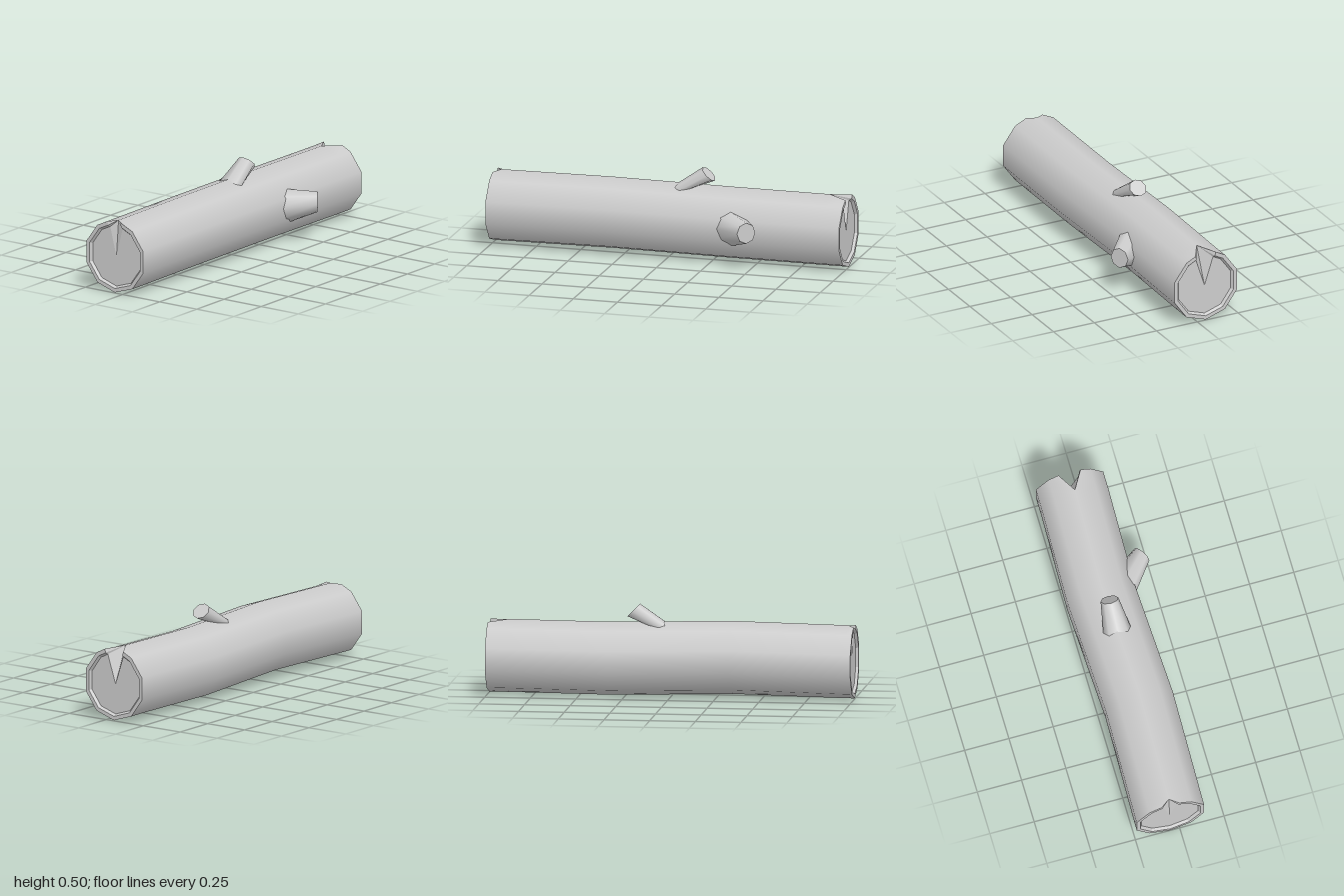
import * as THREE from 'three';

const SIDES = 10, R = 0.2;
const bark = new THREE.MeshStandardMaterial({ color: 0xcccccc });

// Decagon around the log axis; its top corner is opened into two points by the crack half-width
function ring(x, cy, cz, r, split) {
  const points = [];
  for (let j = 0; j <= SIDES; j++) {
    let a = (j / SIDES) * Math.PI * 2;
    if (j === 0) a += split;
    if (j === SIDES) a -= split;
    points.push({
      p: new THREE.Vector3(x, cy + r * Math.cos(a), cz + r * Math.sin(a)),
      n: new THREE.Vector3(0, Math.cos(a), Math.sin(a)),
    });
  }
  return points;
}

// Triangles between successive rings, as a list of corners
function loft(rings) {
  const tris = [];
  for (let i = 0; i < rings.length - 1; i++) {
    for (let j = 0; j < rings[i].length - 1; j++) {
      const a = rings[i][j], b = rings[i][j + 1];
      const c = rings[i + 1][j], d = rings[i + 1][j + 1];
      tris.push([a, b, c], [b, d, c]);
    }
  }
  return tris;
}

function makeMesh(name, tris, { smooth = false, flip = false } = {}) {
  const corners = tris.flatMap(([a, b, c]) => (flip ? [a, c, b] : [a, b, c]));
  const geometry = new THREE.BufferGeometry().setFromPoints(corners.map((v) => v.p));
  if (smooth) {
    const normals = corners.flatMap((v) => v.n.toArray());
    geometry.setAttribute('normal', new THREE.Float32BufferAttribute(normals, 3));
  } else {
    geometry.computeVertexNormals();
  }
  const mesh = new THREE.Mesh(geometry, bark);
  mesh.name = name;
  return mesh;
}

// End face: flat rim, bevel down to a recessed disc, and the wedge-shaped crack in its top
function makeEnd(name, s, split, tipX) {
  const group = new THREE.Group();
  group.name = name;
  const profile = [[1, R], [1, 0.178], [0.985, 0.167], [0.985, 0]];
  const rings = profile.map(([x, r]) => ring(s * x, 0.2, -0.052, r, split));
  group.add(makeMesh('endFace', loft(rings), { flip: s < 0 }));

  const tip = { p: new THREE.Vector3(tipX, 0.2 + R, -0.052) };
  for (const j of [0, SIDES]) {
    const wall = [];
    for (let i = 0; i < rings.length - 1; i++) wall.push([tip, rings[i][j], rings[i + 1][j]]);
    group.add(makeMesh('crackWall', wall, { flip: (j === 0) !== (s > 0) }));
  }
  return group;
}

// Eight-sided cut branch: two ellipses, each given by its centre and two half-axes
function makeBranch(name, base, tip) {
  const ellipse = ({ c, u, v }) => {
    const centre = new THREE.Vector3(...c), U = new THREE.Vector3(...u), V = new THREE.Vector3(...v);
    return Array.from({ length: 9 }, (_, k) => {
      const a = (k / 8) * Math.PI * 2;
      const n = U.clone().multiplyScalar(Math.cos(a)).addScaledVector(V, Math.sin(a));
      return { p: centre.clone().add(n), n: n.clone().normalize() };
    });
  };
  const top = ellipse(tip), bottom = ellipse(base);
  // Shading normals are perpendicular to the sloping sides
  top.forEach((t, k) => {
    const along = t.p.clone().sub(bottom[k].p).normalize();
    t.n.addScaledVector(along, -t.n.dot(along)).normalize();
    bottom[k].n.copy(t.n);
  });
  const centre = { p: new THREE.Vector3(...tip.c) };
  const cut = top.slice(0, 8).map((t, k) => [centre, t, top[k + 1]]);
  const group = new THREE.Group();
  group.name = name;
  group.add(makeMesh('branchSide', loft([bottom, top]), { smooth: true }));
  group.add(makeMesh('branchCut', cut));
  return group;
}

export function createModel() {
  const log = new THREE.Group();
  log.name = 'log';

  const splitLeft = Math.asin(0.0625 / R), splitRight = Math.asin(0.05 / R);

  // Gently bent trunk: x, axis height, axis depth, crack opening
  const trunk = [
    [-1, 0.2, -0.052, splitRight],
    [-0.966, 0.2, -0.052, 0],
    [-0.333, 0.21, -0.038, 0],
    [0.333, 0.197, -0.066, 0],
    [0.893, 0.2, -0.052, 0],
    [1, 0.2, -0.052, splitLeft],
  ].map(([x, y, z, split]) => ring(x, y, z, R, split));
  log.add(makeMesh('trunk', loft(trunk), { smooth: true }));

  log.add(makeEnd('leftEnd', 1, splitLeft, 0.893));
  log.add(makeEnd('rightEnd', -1, splitRight, -0.966));

  // Half-axes are ordered so that u x v points out of the cut
  log.add(makeBranch('topBranch',
    { c: [0.061, 0.378, -0.052], u: [0, 0, 0.077], v: [0.054, -0.002, 0] },
    { c: [0.209, 0.462, -0.052], u: [0, 0, 0.05], v: [0.035, -0.035, 0] }));
  log.add(makeBranch('frontBranch',
    { c: [0.367, 0.202, 0.088], u: [0.118, 0, 0.005], v: [0, 0.098, 0] },
    { c: [0.497, 0.218, 0.213], u: [0.043, 0, -0.03], v: [0, 0.058, 0] }));

  return log;
}
